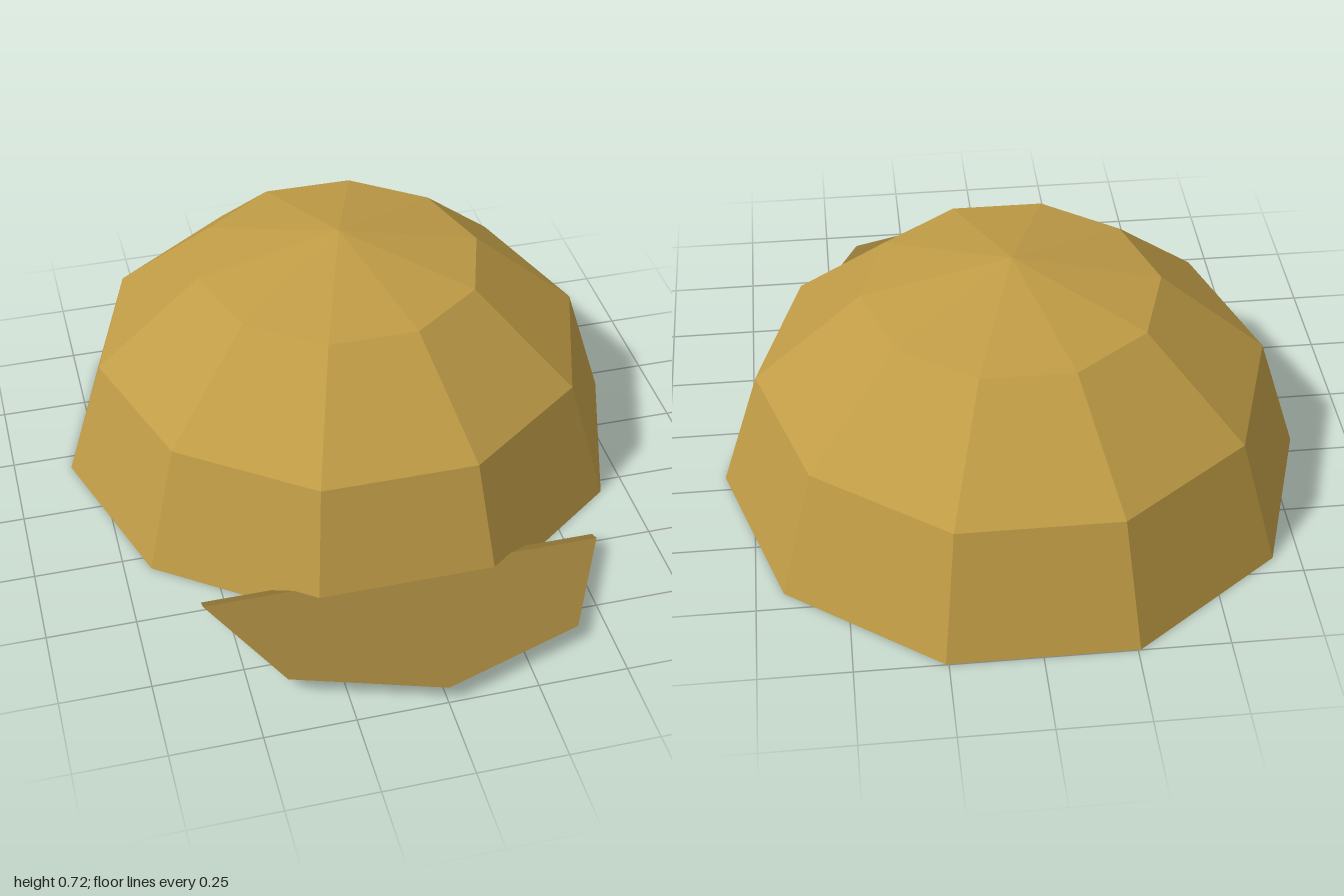
import * as THREE from 'three';

export function createModel() {
  const group = new THREE.Group();
  group.name = 'cap';

  const crownCloth = new THREE.MeshStandardMaterial({ color: 0xc09c46, flatShading: true, side: THREE.DoubleSide });
  crownCloth.name = 'tan cloth';
  const brimCloth = new THREE.MeshStandardMaterial({ color: 0x967a37, flatShading: true, side: THREE.DoubleSide });
  brimCloth.name = 'dark tan cloth';

  // Crown: open ten-sided half dome with three rows of facets
  const dome = new THREE.SphereGeometry(1, 10, 3, 0, Math.PI * 2, 0, Math.PI / 2);
  dome.scale(0.834, 0.72, 0.843);
  dome.translate(0, 0, -0.197);
  const crown = new THREE.Mesh(dome, crownCloth);
  crown.name = 'crown';
  group.add(crown);

  // Brim: thin half-ellipse plate, its upper face pushed forward
  const thickness = 0.017, bottom = 0.038;
  const outline = [];
  for (let i = 0; i <= 4; i++) {
    const a = (i / 4) * Math.PI;
    outline.push(new THREE.Vector2(0.57 * Math.cos(a), 0.455 * Math.sin(a)));
  }
  const plate = new THREE.ExtrudeGeometry(new THREE.Shape(outline), { depth: thickness, bevelEnabled: false });
  plate.rotateX(Math.PI / 2);
  plate.translate(0, thickness, 0);
  plate.applyMatrix4(new THREE.Matrix4().makeShear(0, 0, 0, 0.036 / thickness, 0, 0));
  plate.translate(0, bottom, 0.508);
  const brim = new THREE.Mesh(plate, brimCloth);
  brim.name = 'brim';
  group.add(brim);

  return group;
}
